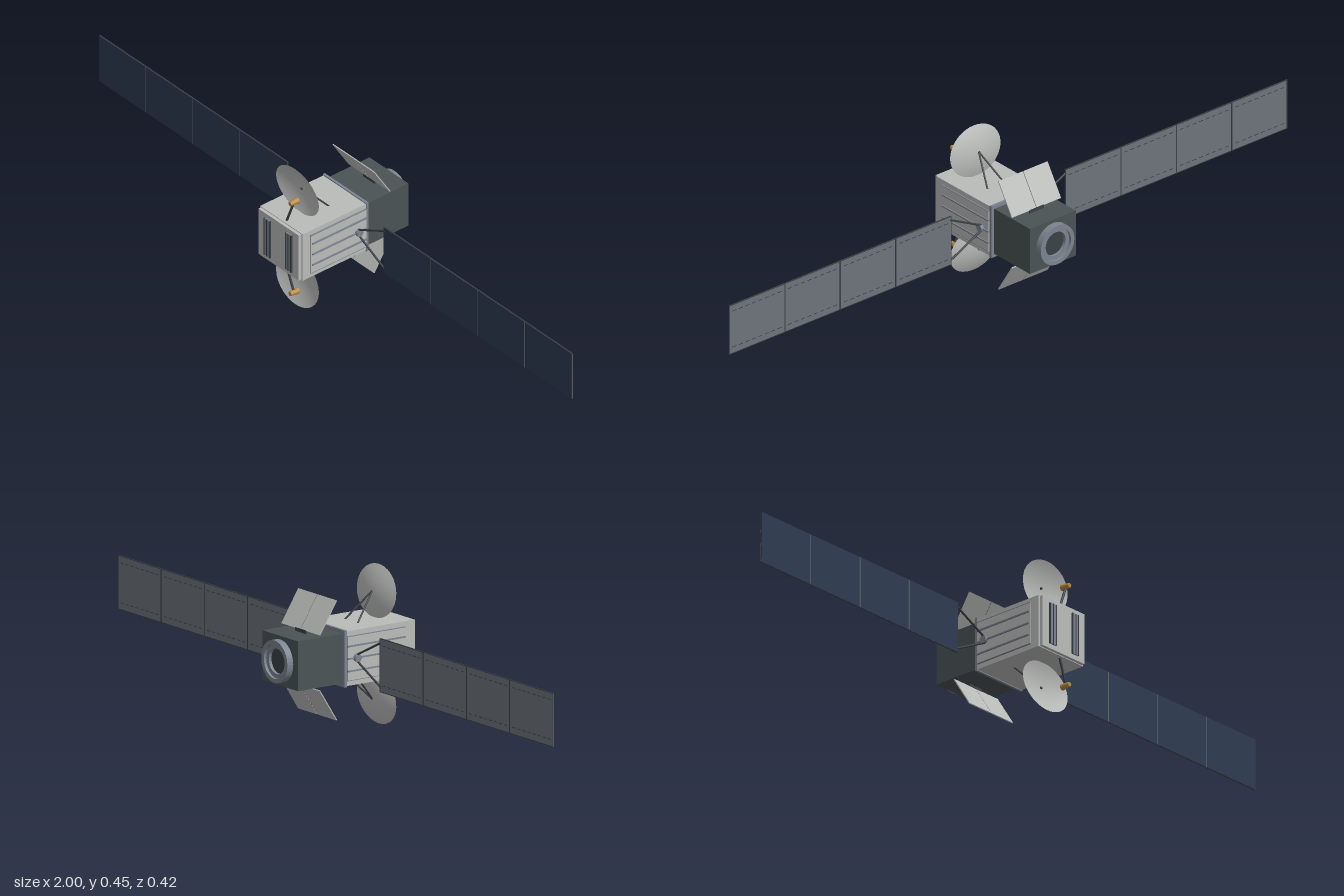
import * as THREE from 'three';

const mat = (name, hex, side = THREE.FrontSide) => {
  const m = new THREE.MeshStandardMaterial({ color: hex, side });
  m.name = name;
  return m;
};

export function createModel() {
  const hull = mat('light grey hull', 0xbabcba);
  const dishMat = mat('light grey dish', 0xbabcba, THREE.DoubleSide);
  const dark = mat('dark slate', 0x4a5355);
  const steel = mat('blue grey metal', 0x7c8490, THREE.DoubleSide);
  const strutMat = mat('dark strut', 0x3b4146);
  const cells = mat('navy solar cells', 0x2c3b50);
  const backing = mat('grey panel backing', 0x6d737b);
  const gold = mat('gold', 0xb98a42);

  const CY = 0.225; // height of the main axis
  const model = new THREE.Group();
  model.name = 'satellite';

  const add = (name, geo, m, x = 0, y = 0, z = 0, parent = model) => {
    const mesh = new THREE.Mesh(geo, m);
    mesh.name = name;
    mesh.position.set(x, y, z);
    parent.add(mesh);
    return mesh;
  };
  const box = (name, m, w, h, d, x, y, z, parent) =>
    add(name, new THREE.BoxGeometry(w, h, d), m, x, y, z, parent);
  // Round bar between two points
  const rod = (name, m, a, b, r0, r1 = r0, parent) => {
    const p = new THREE.Vector3(...a), q = new THREE.Vector3(...b);
    const dir = q.clone().sub(p);
    const mesh = add(name, new THREE.CylinderGeometry(r1, r0, dir.length(), 16), m, 0, 0, 0, parent);
    mesh.position.copy(p).add(q).multiplyScalar(0.5);
    mesh.quaternion.setFromUnitVectors(new THREE.Vector3(0, 1, 0), dir.normalize());
    return mesh;
  };

  // Main body, collar and rear module
  box('mainBody', hull, 0.18, 0.154, 0.23, 0, CY, 0.08);
  box('collar', steel, 0.184, 0.16, 0.008, 0, CY, -0.035);
  box('rearModule', dark, 0.164, 0.14, 0.152, 0, CY, -0.114);
  box('frontPlate', hull, 0.17, 0.15, 0.01, 0, CY, 0.2);

  // Raised radiator strips with dark edges on the front
  for (const s of [-1, 1]) {
    const x = s * 0.045;
    box('frontStrip', steel, 0.022, 0.122, 0.004, x, CY, 0.207);
    for (const e of [-1, 0, 1])
      box('frontStripFin', strutMat, 0.003, 0.122, 0.005, x + e * 0.0115, CY, 0.2075);
  }

  // Side radiators with horizontal ribs
  for (const s of [-1, 1]) {
    box('sideRadiator', hull, 0.005, 0.124, 0.198, s * 0.0915, CY, 0.069);
    for (const dy of [-0.035, 0, 0.035])
      box('radiatorRib', steel, 0.008, 0.004, 0.196, s * 0.094, CY + dy, 0.067);
    for (const dy of [-0.062, 0.062])
      box('radiatorEdge', steel, 0.006, 0.0015, 0.198, s * 0.092, CY + dy, 0.069);
  }

  // Docking ring at the back: hollow stepped ring around a dark floor
  const ringProfile = [[0.036, -0.002], [0.036, 0.012], [0.048, 0.012], [0.048, 0.02], [0.06, 0.02], [0.06, -0.002]]
    .map(([r, h]) => new THREE.Vector2(r, h)).reverse();
  const ring = new THREE.LatheGeometry(ringProfile, 40).toNonIndexed();
  ring.computeVertexNormals();
  add('rearRing', ring, steel, 0, CY, -0.19).rotation.x = -Math.PI / 2;
  add('rearRingFloor', new THREE.CylinderGeometry(0.037, 0.037, 0.004, 32), strutMat, 0, CY, -0.191).rotation.x = Math.PI / 2;

  // Dishes, feeds and flaps, above (s = 1) and below (s = -1)
  const dishProfile = [];
  for (let i = 0; i <= 10; i++) {
    const t = i / 10;
    dishProfile.push(new THREE.Vector2(0.09 * t, -0.016 * (1 - t * t)));
  }
  for (const s of [1, -1]) {
    const unit = new THREE.Group();
    unit.name = s > 0 ? 'upperAntenna' : 'lowerAntenna';
    model.add(unit);
    const Y = (d) => CY + s * d;

    const dish = add('dish', new THREE.LatheGeometry(dishProfile, 40), dishMat, 0, Y(0.15), 0.1375, unit);
    dish.scale.z = 0.83;
    dish.rotation.x = Math.PI / 2 + s * 0.105;
    add('dishHub', new THREE.SphereGeometry(0.004, 12, 8), strutMat, 0, Y(0.15), 0.122, unit);
    for (const e of [-1, 1])
      rod('dishStrut', strutMat, [e * 0.03, Y(0.075), 0.05], [0, Y(0.152), 0.123], 0.0025, 0.0025, unit);

    rod('feedArm', strutMat, [0.008, Y(0.074), 0.183], [0.036, Y(0.148), 0.181], 0.0035, 0.0035, unit);
    rod('feedHorn', gold, [0.036, Y(0.149), 0.195], [0.036, Y(0.15), 0.167], 0.0065, 0.0095, unit);

    // Angled flap made of two leaves, standing off the rear module
    const flap = new THREE.Group();
    flap.name = 'rearFlap';
    flap.position.set(0, Y(0.123), -0.0915);
    flap.rotation.x = s * Math.atan2(0.057, 0.09);
    model.add(flap);
    for (const e of [-1, 1])
      box('flapLeaf', hull, 0.087, 0.107, 0.003, e * 0.0443, 0, 0, flap);
    box('flapSeam', strutMat, 0.0016, 0.107, 0.002, 0, 0, 0, flap);
    box('flapHinge', strutMat, 0.05, 0.012, 0.004, 0, Y(0.074), -0.12);
  }

  // Solar wings
  for (const s of [-1, 1]) {
    const wing = new THREE.Group();
    wing.name = s > 0 ? 'leftWing' : 'rightWing';
    model.add(wing);
    rod('wingPivot', steel, [s * 0.088, CY, 0], [s * 0.104, CY, 0], 0.011, 0.011, wing);
    for (const e of [-1, 1])
      rod('wingYoke', strutMat, [s * 0.095, CY + e * 0.008, 0], [s * 0.208, CY + e * 0.064, 0], 0.003, 0.003, wing);
    const w = 0.199;
    for (let i = 0; i < 4; i++) {
      const x = s * (0.204 + w * (i + 0.5));
      box('panelCells', cells, w - 0.002, 0.15, 0.002, x, CY, 0.0012, wing);
      box('panelBacking', backing, w - 0.002, 0.15, 0.002, x, CY, -0.0008, wing);
      // Dashed wiring along the back
      for (const e of [-1, 1])
        for (let k = 0; k < 8; k++)
          box('backWiring', strutMat, 0.013, 0.002, 0.001, x + (k - 3.5) * 0.023, CY + e * 0.056, -0.002, wing);
    }
    for (let i = 0; i <= 4; i++) {
      const x = s * (0.205 + 0.1985 * i - (i === 4 ? 0.001 : 0));
      box('panelHinge', strutMat, i % 4 ? 0.004 : 0.002, 0.15, 0.003, x, CY, -0.0012, wing);
      if (i % 4) box('panelSeam', backing, 0.002, 0.15, 0.0012, x, CY, 0.002, wing);
    }
    for (const e of [-1, 1])
      box('panelEdge', strutMat, 0.795, 0.002, 0.0036, s * 0.6025, CY + e * 0.0748, -0.0005, wing);
  }
  return model;
}
